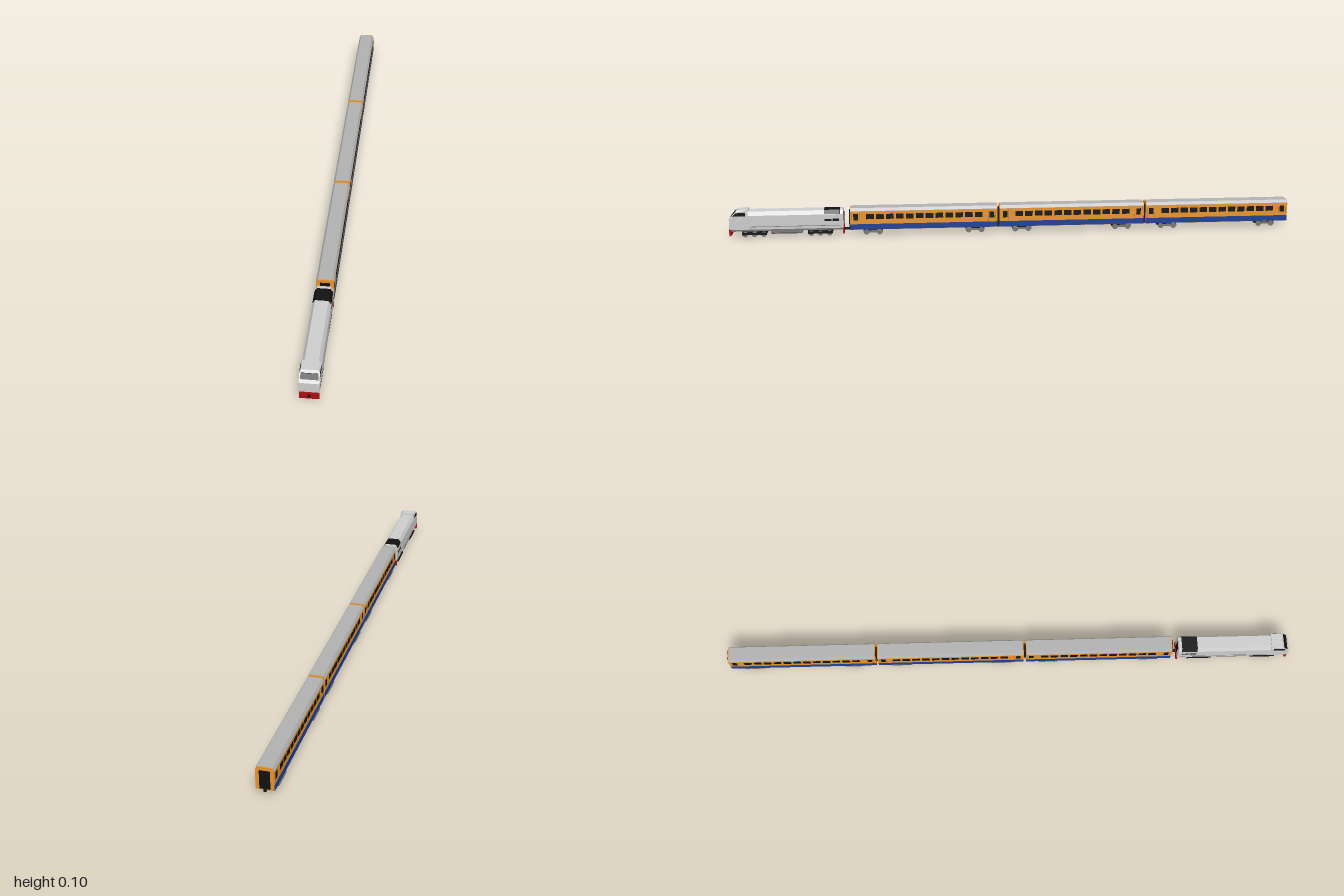
import * as THREE from 'three';

const mat = (color) => new THREE.MeshStandardMaterial({ color, flatShading: true });
const GREY = mat(0xcccccc), ROOF = mat(0xb0b0b0), DARK = mat(0x777777), BLACK = mat(0x111111);
const RED = mat(0xa80f12), ORANGE = mat(0xe8932c), BLUE = mat(0x1b3f93);

function add(parent, name, geometry, material, x = 0, y = 0, z = 0) {
  const mesh = new THREE.Mesh(geometry, material);
  mesh.name = name;
  mesh.position.set(x, y, z);
  parent.add(mesh);
  return mesh;
}

// Box given by its centre x and its y and z ranges
function box(parent, name, material, w, y0, y1, z0, z1, x = 0) {
  return add(parent, name, new THREE.BoxGeometry(w, y1 - y0, z1 - z0), material,
    x, (y0 + y1) / 2, (z0 + z1) / 2);
}

const shapeOf = (pts) => new THREE.Shape(pts.map(([a, b]) => new THREE.Vector2(a, b)));

// Right half of a cross-section (x, y), mirrored and extruded from z0 to z1
function hull(half, z0, z1) {
  const left = half.map(([x, y]) => [-x, y]).reverse();
  const geo = new THREE.ExtrudeGeometry(shapeOf([...half, ...left]), { depth: z1 - z0, bevelEnabled: false });
  return geo.translate(0, 0, z0);
}

// Side profile (z, y) extruded across the width
function sideProfile(pts, width) {
  const geo = new THREE.ExtrudeGeometry(shapeOf(pts), { depth: width, bevelEnabled: false });
  return geo.translate(0, 0, -width / 2).rotateY(-Math.PI / 2);
}

// Bogie with a row of axles, side frames and a centre plate
function bogie(parent, z, axles, spacing, frameMat) {
  const group = new THREE.Group();
  group.name = 'bogie';
  group.position.z = z;
  parent.add(group);
  const half = ((axles - 1) * spacing) / 2 + 0.011;
  box(group, 'bogieFrame', BLACK, 0.034, 0.01, 0.024, -half, half);
  for (const s of [-1, 1]) {
    box(group, 'sideFrame', frameMat, 0.004, 0.009, 0.016, -half, half, s * 0.026);
  }
  for (let i = 0; i < axles; i++) {
    const az = (i - (axles - 1) / 2) * spacing;
    for (const s of [-1, 1]) {
      const wheel = new THREE.CylinderGeometry(0.0095, 0.0095, 0.005, 14).rotateZ(Math.PI / 2);
      add(group, 'wheel', wheel, DARK, s * 0.0215, 0.0095, az);
    }
    const axle = new THREE.CylinderGeometry(0.002, 0.002, 0.04, 6).rotateZ(Math.PI / 2);
    add(group, 'axle', axle, BLACK, 0, 0.0095, az);
  }
}

function createLocomotive() {
  const loco = new THREE.Group();
  loco.name = 'locomotive';

  // Engine body with sloping roof shoulders, on a narrower underframe
  add(loco, 'engineBody', hull([[0.0295, 0.033], [0.0295, 0.078], [0.021, 0.092]], 0.6, 0.931), GREY);
  box(loco, 'underframe', DARK, 0.053, 0.022, 0.033, 0.602, 0.988);
  box(loco, 'sill', GREY, 0.0595, 0.029, 0.034, 0.6, 0.992);

  // Cab with raked windscreen, narrowed at the roof
  const cab = sideProfile([[0.93, 0.033], [0.995, 0.033], [0.995, 0.068], [0.974, 0.0905],
    [0.968, 0.097], [0.93, 0.097], [0.93, 0.0905]], 0.06);
  const pos = cab.attributes.position;
  for (let i = 0; i < pos.count; i++) {
    if (pos.getY(i) > 0.095) pos.setX(i, pos.getX(i) * 0.87);
  }
  cab.computeVertexNormals();
  add(loco, 'cab', cab, GREY);
  add(loco, 'windscreen', sideProfile([[0.987, 0.0765], [0.9884, 0.0772], [0.9762, 0.0903], [0.9745, 0.09]], 0.053), BLACK);

  for (const s of [-1, 1]) {
    const pane = sideProfile([[0.938, 0.077], [0.982, 0.077], [0.971, 0.089], [0.938, 0.089]], 0.001);
    add(loco, 'cabSideWindow', pane, BLACK, s * 0.0303);
    // Side grilles near the rear
    box(loco, 'sideGrille', BLACK, 0.001, 0.054, 0.062, 0.642, 0.666, s * 0.0297);
    box(loco, 'sideGrille', BLACK, 0.001, 0.054, 0.062, 0.616, 0.638, s * 0.0297);
    box(loco, 'bodyRib', DARK, 0.001, 0.0375, 0.0395, 0.61, 0.925, s * 0.0297);
  }

  // Radiator wrapped over the roof, and the rear doorway
  add(loco, 'radiator', hull([[0.0297, 0.079], [0.0215, 0.0928], [0, 0.0928]].slice(0, 2), 0.612, 0.667), BLACK);
  box(loco, 'rearDoor', BLACK, 0.024, 0.034, 0.08, 0.5985, 0.601);

  // Fuel tank between the bogies
  add(loco, 'fuelTank', hull([[0.02, 0.01], [0.027, 0.015], [0.027, 0.024]], 0.745, 0.852), DARK);
  bogie(loco, 0.91, 3, 0.032, BLACK);
  bogie(loco, 0.682, 3, 0.032, BLACK);

  // Snowploughs at both ends and the front coupler
  box(loco, 'frontPlough', RED, 0.059, 0.007, 0.03, 0.989, 0.996);
  box(loco, 'rearPlough', RED, 0.059, 0.007, 0.03, 0.598, 0.603);
  box(loco, 'frontCoupler', BLACK, 0.008, 0.015, 0.023, 0.985, 1);
  box(loco, 'rearCoupler', BLACK, 0.008, 0.015, 0.023, 0.578, 0.6);
  return loco;
}

function createCoach(z) {
  const coach = new THREE.Group();
  coach.name = 'coach';
  coach.position.z = z;
  const h = 0.2595;

  // Body shell, with a roof skin just short of the ends
  add(coach, 'coachBody', hull([[0.0285, 0.02], [0.0285, 0.086], [0.0225, 0.0962]], -h, h), ORANGE);
  add(coach, 'coachRoof', hull([[0.0291, 0.0855], [0.0291, 0.0868], [0.0229, 0.097]], -h + 0.003, h - 0.003), ROOF);

  for (const s of [-1, 1]) {
    const x = s * 0.0287;
    box(coach, 'lowerStripe', BLUE, 0.001, 0.0205, 0.04, -h, h, x);
    // Row of passenger windows, with a door window at each end
    for (let i = 0; i < 12; i++) {
      const wz = -0.193 + i * 0.0348;
      box(coach, 'window', BLACK, 0.001, 0.0575, 0.0755, wz - 0.0135, wz + 0.0135, x);
    }
    for (const e of [-1, 1]) {
      const dz = e * 0.24;
      box(coach, 'doorWindow', BLACK, 0.001, 0.054, 0.0765, dz - 0.008, dz + 0.008, x);
      for (const k of [-1, 1]) {
        box(coach, 'doorSeam', DARK, 0.0008, 0.04, 0.082, dz + k * 0.013 - 0.0004, dz + k * 0.013 + 0.0004, x);
      }
    }
  }

  // Gangways, couplers and bogies at each end
  for (const e of [-1, 1]) {
    add(coach, 'gangway', new THREE.BoxGeometry(0.032, 0.06, 0.005), BLACK, 0, 0.055, e * (h + 0.0015));
    add(coach, 'coupler', new THREE.BoxGeometry(0.008, 0.007, 0.014), BLACK, 0, 0.0185, e * (h - 0.003));
    bogie(coach, e * 0.18, 2, 0.046, DARK);
  }
  return coach;
}

export function createModel() {
  const train = new THREE.Group();
  train.name = 'train';
  train.add(createLocomotive());
  for (let i = 0; i < 3; i++) train.add(createCoach(0.3175 - i * 0.5268));
  return train;
}
